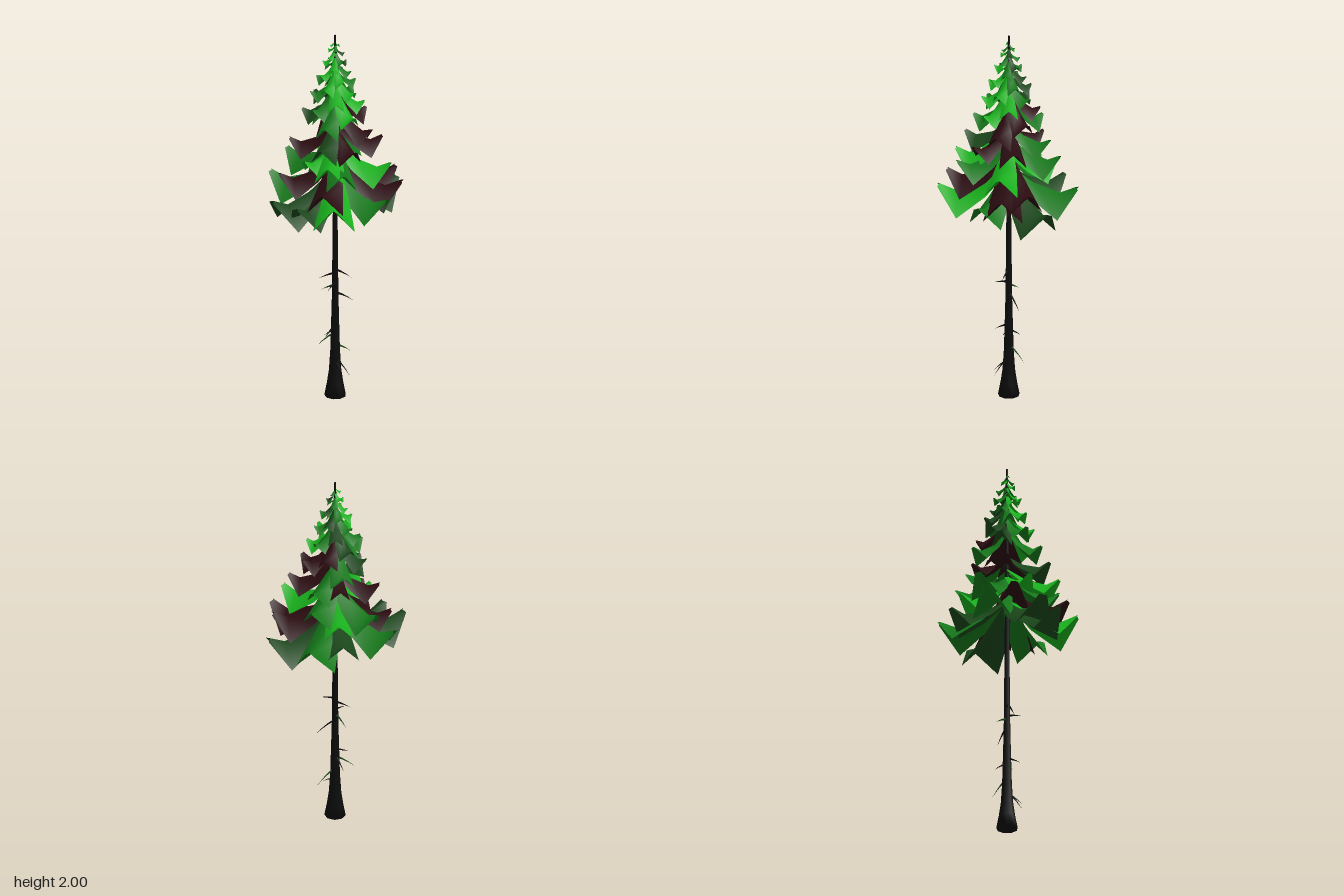
import * as THREE from 'three';

const mat = (color) => new THREE.MeshStandardMaterial({ color, side: THREE.DoubleSide });

// Folded, drooping bough with a kite outline, one unit long.
// Rows: ridge reach, wing reach, ridge height, half width, wing drop
function boughGeometry(rise, dip, width, drop) {
  const rows = [
    [0.0, 0.0, rise, 0.08, 0.06],
    [0.36, 0.33, rise * 0.35 - dip * 0.7, 0.2, 0.15],
    [0.74, 0.74, -dip, 0.29, 0.31],
    [0.96, 1.0, 0, 0.06, 0.02],
  ];
  const pos = [], index = [];
  for (const [rc, rw, y, w, d] of rows) {
    pos.push(-w * width, y - d * drop, rw, 0, y, rc, w * width, y - d * drop, rw);
  }
  for (let i = 0; i < rows.length - 1; i++) {
    for (let j = 0; j < 2; j++) {
      const a = i * 3 + j, b = a + 3;
      index.push(a, b, a + 1, a + 1, b, b + 1);
    }
  }
  const g = new THREE.BufferGeometry();
  g.setAttribute('position', new THREE.Float32BufferAttribute(pos, 3));
  g.setIndex(index);
  g.computeVertexNormals();
  return g;
}

// Wide lower boughs: tip x, tip z, tip height, colour index
const LOWER = [
  [-0.01, -0.355, 1.18, 1], [0.265, -0.25, 1.14, 2], [0.295, 0.11, 1.16, 1],
  [0.07, 0.355, 1.18, 0], [-0.14, 0.3, 1.15, 2], [-0.275, 0.25, 1.16, 2],
  [-0.345, -0.03, 1.21, 1], [-0.16, -0.26, 1.19, 2],
  [0.345, -0.02, 1.22, 3], [0.28, -0.16, 1.24, 3], [0.0, 0.32, 1.24, 3],
  [-0.27, 0.1, 1.25, 3], [-0.12, -0.22, 1.28, 0],
  [0.29, 0.0, 1.32, 0], [0.1, 0.25, 1.33, 1], [0.02, 0.27, 1.37, 0],
  [-0.27, -0.09, 1.32, 1], [0.02, -0.27, 1.36, 1], [-0.13, 0.15, 1.35, 0],
  [0.23, -0.07, 1.44, 3], [0.14, 0.16, 1.43, 3], [-0.03, 0.23, 1.45, 2],
  [-0.23, 0.04, 1.43, 3], [-0.1, -0.16, 1.45, 3], [0.03, -0.22, 1.45, 1],
];

// Bare twigs: tip x, tip z, tip height, root height
const TWIGS = [
  [-0.08, 0.02, 0.65, 0.68], [0.09, 0.02, 0.67, 0.7], [-0.08, -0.04, 0.56, 0.61],
  [0.08, -0.07, 0.5, 0.57], [-0.02, 0.08, 0.61, 0.63], [-0.09, 0.05, 0.28, 0.35],
  [-0.04, 0.08, 0.34, 0.39], [0.09, 0.06, 0.14, 0.21], [0.06, -0.09, 0.21, 0.28],
  [0.05, 0.07, 0.15, 0.2], [-0.07, -0.05, 0.3, 0.36],
];

export function createModel() {
  const tree = new THREE.Group();
  tree.name = 'conifer';
  const bark = mat(0x0c0c0c);
  const greens = [0x18b01c, 0x15781a, 0x1a461a, 0x2a0b10].map(mat);

  // Flared trunk running up to a bare leader
  const profile = [[0, 0], [0.055, 0], [0.042, 0.07], [0.032, 0.14], [0.025, 0.25], [0.017, 0.55],
    [0.012, 1.05], [0.008, 1.6], [0.005, 2], [0, 2]].map(([r, y]) => new THREE.Vector2(r, y));
  const trunk = new THREE.Mesh(new THREE.LatheGeometry(profile, 9), bark);
  trunk.name = 'trunk';
  tree.add(trunk);

  // Foliage
  const foliage = new THREE.Group();
  foliage.name = 'foliage';
  tree.add(foliage);
  const addBough = (geometry, angle, length, y, colour) => {
    const m = new THREE.Mesh(geometry, greens[colour]);
    m.name = 'bough';
    m.position.y = y;
    m.rotation.y = angle;
    m.scale.setScalar(length);
    foliage.add(m);
  };
  const broad = boughGeometry(0.28, 0.1, 1, 1);
  for (const [x, z, y, c] of LOWER) addBough(broad, Math.atan2(x, z), Math.hypot(x, z), y, c);

  // Upper boughs climb in a spiral, shortening towards the leader
  const steep = boughGeometry(0.65, 0.07, 1.1, 1.1);
  const count = 34;
  for (let i = 0; i < count; i++) {
    const y = 1.51 + 0.44 * Math.pow(i / (count - 1), 0.85);
    const colour = i < 7 && i % 3 === 0 ? 3 : [0, 1, 1, 0, 2][i % 5];
    addBough(steep, 1.4 + i * 2.4, 0.205 - 0.39 * (y - 1.5), y, colour);
  }

  // Dead twigs pointing down from the bare trunk, curving towards the tip
  TWIGS.forEach(([x, z, tipY, rootY], i) => {
    const length = Math.hypot(x, z);
    const fall = tipY - rootY;
    const g = new THREE.ConeGeometry(0.008, length, 4, 3);
    g.translate(0, length / 2, 0);
    g.rotateX(Math.PI / 2);
    const p = g.attributes.position;
    for (let k = 0; k < p.count; k++) {
      const t = p.getZ(k) / length;
      p.setY(k, p.getY(k) + fall * (0.6 * t + 0.4 * t * t));
    }
    g.computeVertexNormals();
    const twig = new THREE.Mesh(g, i % 3 === 2 ? greens[2] : bark);
    twig.name = 'twig';
    twig.position.y = rootY;
    twig.rotation.y = Math.atan2(x, z);
    tree.add(twig);
  });
  return tree;
}
